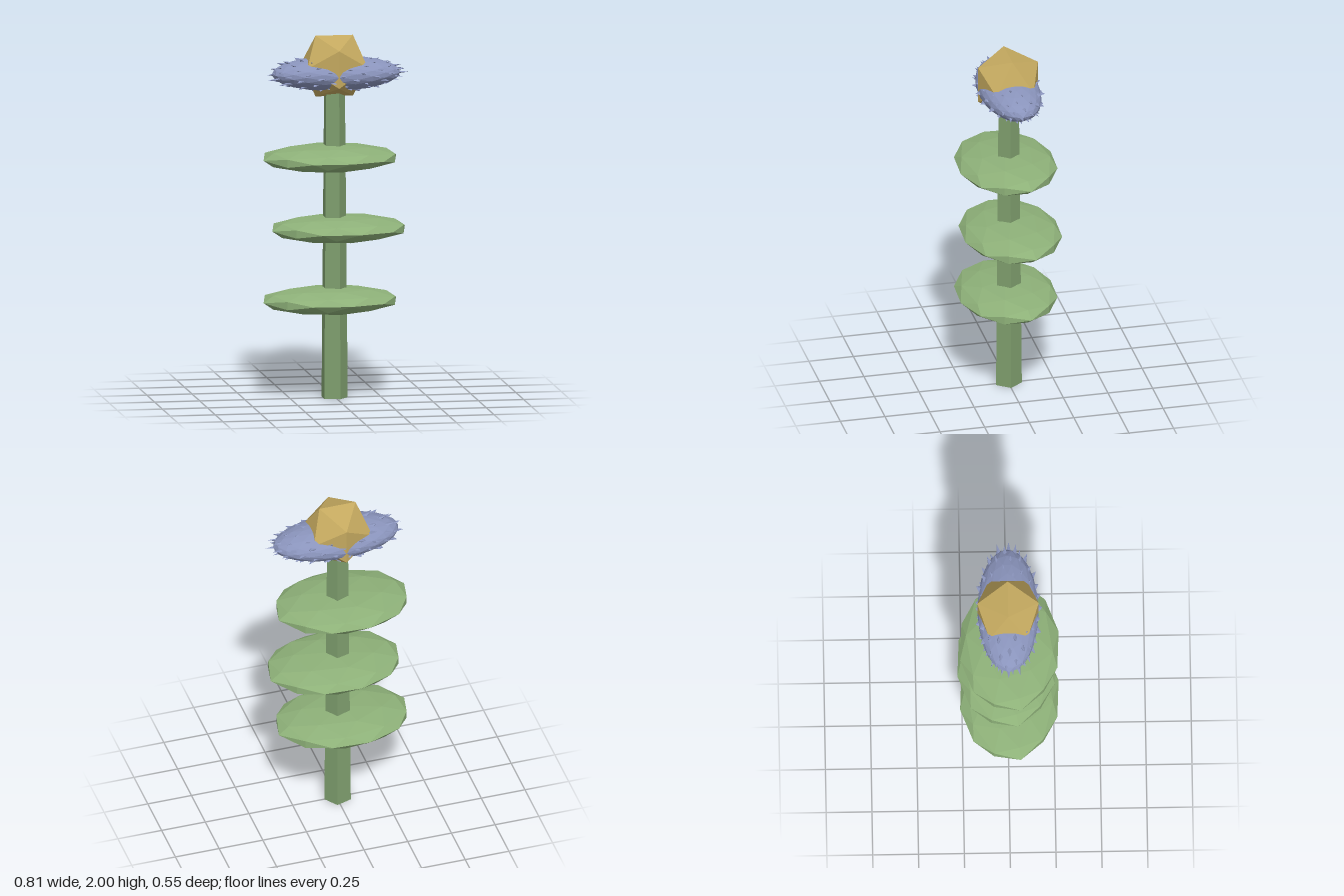
import * as THREE from 'three';
import { mergeGeometries } from 'three/addons/utils/BufferGeometryUtils.js';

const paint = (color) => new THREE.MeshStandardMaterial({ color, flatShading: true });

export function createModel() {
  const model = new THREE.Group();
  const stemGreen = paint(0x7f9f6e), leafGreen = paint(0x8db078);
  const petalBlue = paint(0x8a94bc), gold = paint(0xc4a95f);

  function add(name, geometry, material, x, y, z) {
    const mesh = new THREE.Mesh(geometry, material);
    mesh.name = name;
    mesh.position.set(x, y, z);
    model.add(mesh);
    return mesh;
  }

  // Five-sided tapering stem
  const stemHeight = 1.75;
  add('stem', new THREE.CylinderGeometry(0.06, 0.076, stemHeight, 5, 1, false, Math.PI / 2),
    stemGreen, -0.007, stemHeight / 2, 0);

  // Flat faceted leaf tiers, shifted alternately to either side of the stem
  const leaf = new THREE.IcosahedronGeometry(1, 1);
  leaf.rotateY(THREE.MathUtils.degToRad(-78));
  leaf.scale(0.385, 0.073, 0.276);
  [0.54, 0.932, 1.326].forEach((y, i) => {
    const side = i % 2 ? 1 : -1;
    add('leafTier' + (i + 1), leaf, leafGreen, -0.006 + side * 0.0255, y, -side * 0.007);
  });

  // Blossom: a core covered in pointed petals, squashed into a long flat lens
  const parts = [new THREE.IcosahedronGeometry(0.9, 3)];
  const up = new THREE.Vector3(0, 1, 0);
  const count = 110;
  for (let i = 0; i < count; i++) {
    const h = 1 - (2 * i + 1) / count;
    const r = Math.sqrt(1 - h * h), a = i * 2.39996;
    const direction = new THREE.Vector3(r * Math.cos(a), h, r * Math.sin(a));
    const tip = 0.99 + 0.03 * Math.sin(i * 2.3);
    const petal = new THREE.ConeGeometry(0.15, 0.3, 4).toNonIndexed();
    petal.translate(0, tip - 0.15, 0);
    petal.applyQuaternion(new THREE.Quaternion().setFromUnitVectors(up, direction));
    parts.push(petal);
  }
  const blossom = mergeGeometries(parts);
  blossom.scale(0.395, 0.105, 0.186);
  add('blossomPetals', blossom, petalBlue, 0.004, 1.79, 0);

  // Golden centre
  add('blossomCentre', new THREE.IcosahedronGeometry(0.197, 0), gold, -0.006, 1.832, 0);

  return model;
}
